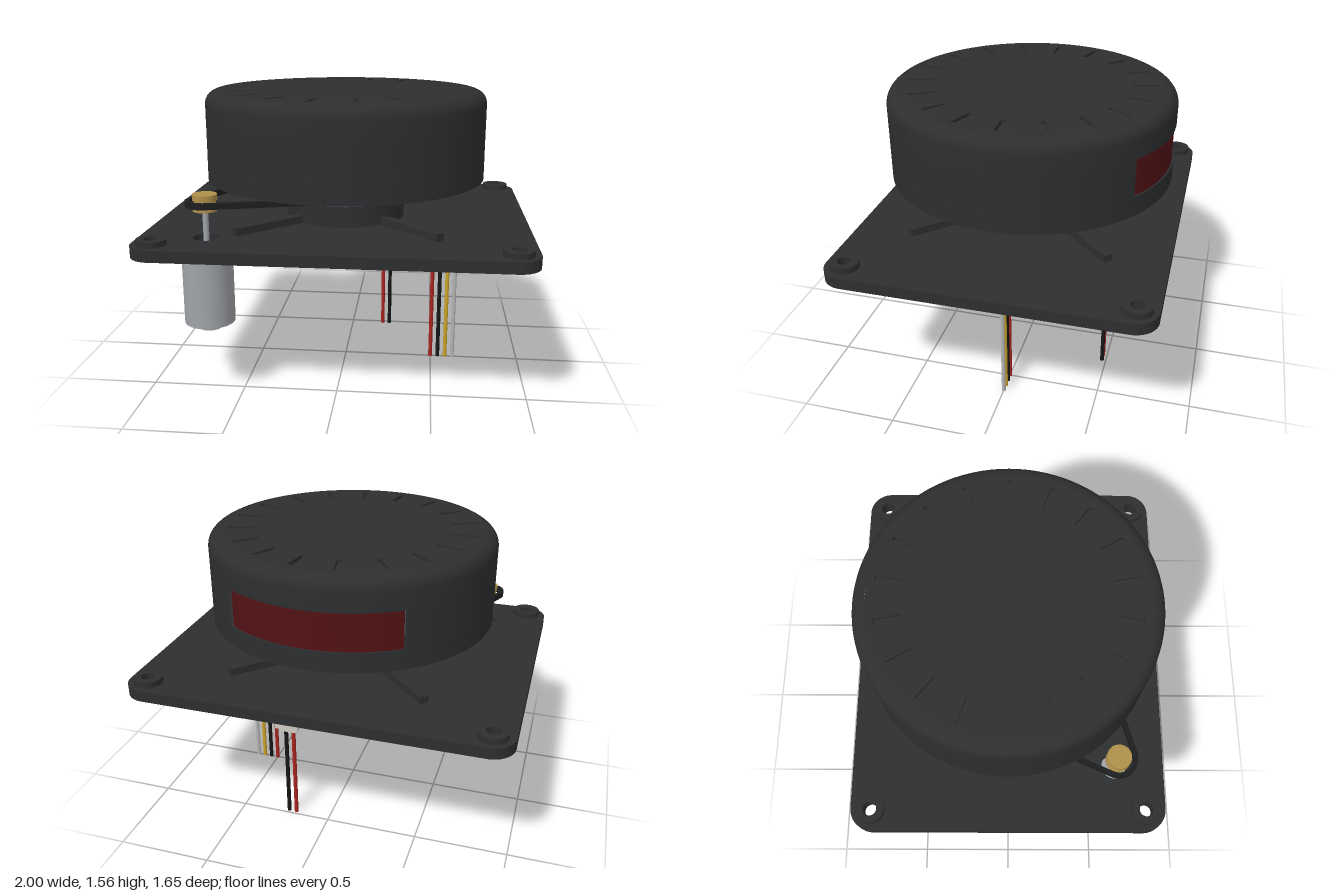
import * as THREE from 'three';
import { toCreasedNormals } from 'three/addons/utils/BufferGeometryUtils.js';

const mat = (color, side = THREE.FrontSide) => new THREE.MeshStandardMaterial({ color, side });
const M = {
  dark: mat(0x2c2e30), shell: mat(0x2c2e30, THREE.DoubleSide), belt: mat(0x1c1d1e),
  pulley: mat(0x4a4d52), brass: mat(0xb0904a), steel: mat(0xa0a3a8), window: mat(0x521214),
  board: mat(0x1f6136), chip: mat(0x77777a), ivory: mat(0xcfcbc0),
  red: mat(0xa8241e), black: mat(0x151515), yellow: mat(0xc9a227), white: mat(0xb4b4b4),
};
const MOTOR = [-0.655, 0.565]; // x, z of the motor axis

export function createModel() {
  const model = new THREE.Group();

  function add(parent, name, geometry, material, x = 0, y = 0, z = 0) {
    const mesh = new THREE.Mesh(geometry, material);
    mesh.name = name;
    mesh.position.set(x, y, z);
    parent.add(mesh);
    return mesh;
  }
  function group(name) {
    const g = new THREE.Group();
    g.name = name;
    model.add(g);
    return g;
  }
  // Horizontal slab from a plan outline (shape y = -z), between two heights
  function slab(parent, name, shape, y0, y1, material) {
    const g = new THREE.ExtrudeGeometry(shape, { depth: y1 - y0, bevelEnabled: false, curveSegments: 32 });
    g.rotateX(-Math.PI / 2);
    return add(parent, name, toCreasedNormals(g, 0.5), material, 0, y0, 0);
  }
  const cyl = (parent, name, r, y0, y1, material, x = 0, z = 0, seg = 32) =>
    add(parent, name, new THREE.CylinderGeometry(r, r, y1 - y0, seg), material, x, (y0 + y1) / 2, z);
  const box = (parent, name, x0, x1, y0, y1, z0, z1, material) =>
    add(parent, name, new THREE.BoxGeometry(x1 - x0, y1 - y0, z1 - z0), material,
      (x0 + x1) / 2, (y0 + y1) / 2, (z0 + z1) / 2);
  const circle = (C, x, z, r) => new C().absarc(x, -z, r, 0, Math.PI * 2, false);
  const ring = (x, z, r, hole) => {
    const s = circle(THREE.Shape, x, z, r);
    s.holes.push(circle(THREE.Path, x, z, hole));
    return s;
  };

  // Base plate with rounded corners, screw holes, motor hole and centre bore
  const base = group('base');
  const plate = new THREE.Shape();
  const w = 1, d = 0.825, c = 0.12, q = Math.PI / 2;
  [[1, 1], [-1, 1], [-1, -1], [1, -1]].forEach(([sx, sy], i) =>
    plate.absarc(sx * (w - c), sy * (d - c), c, i * q, (i + 1) * q, false));
  plate.holes.push(circle(THREE.Path, 0, 0, 0.25), circle(THREE.Path, ...MOTOR, 0.068));
  for (const x of [-0.89, 0.89]) for (const z of [-0.72, 0.72]) {
    plate.holes.push(circle(THREE.Path, x, z, 0.035));
    slab(base, 'screwBoss', ring(x, z, 0.075, 0.035), 0.86, 0.89, M.dark);
  }
  slab(base, 'basePlate', plate, 0.8, 0.86, M.dark);
  slab(base, 'neck', ring(0, 0, 0.325, 0.25), 0.86, 1.0, M.dark);
  for (let i = 0; i < 4; i++) {
    const rib = new THREE.BoxGeometry(0.44, 0.04, 0.05).translate(0.52, 0, 0);
    add(base, 'stiffeningRib', rib, M.dark, 0, 0.88, 0).rotation.y = (i + 0.5) * q;
  }

  // Large pulley and belt running round it and the motor pulley
  const drive = group('drive');
  cyl(drive, 'pulleyLowerFlange', 0.435, 1.0, 1.025, M.pulley, 0, 0, 64);
  cyl(drive, 'pulleyCore', 0.43, 1.025, 1.055, M.pulley, 0, 0, 64);
  cyl(drive, 'pulleyUpperFlange', 0.44, 1.055, 1.085, M.pulley, 0, 0, 64);
  function beltLoop(C, R, r) {
    const [px, pz] = MOTOR, phi = Math.atan2(-pz, px);
    const b = Math.acos((R - r) / Math.hypot(px, pz));
    const p = new C();
    p.absarc(0, 0, R, phi + b, phi - b + Math.PI * 2, false);
    p.absarc(px, -pz, r, phi - b, phi + b, false);
    p.closePath();
    return p;
  }
  const belt = beltLoop(THREE.Shape, 0.465, 0.1);
  belt.holes.push(beltLoop(THREE.Path, 0.437, 0.075));
  slab(drive, 'belt', belt, 1.025, 1.055, M.belt);

  // Motor hanging below the plate
  const motor = group('motor');
  cyl(motor, 'motorCan', 0.13, 0.41, 0.8, M.steel, ...MOTOR, 48);
  cyl(motor, 'motorEndBoss', 0.063, 0.375, 0.41, M.steel, ...MOTOR);
  cyl(motor, 'motorShaft', 0.015, 0.8, 1.0, M.steel, ...MOTOR, 16);
  cyl(motor, 'motorPulleyLower', 0.063, 1.0, 1.025, M.brass, ...MOTOR);
  cyl(motor, 'motorPulleyCore', 0.056, 1.025, 1.055, M.brass, ...MOTOR);
  cyl(motor, 'motorPulleyUpper', 0.063, 1.055, 1.085, M.brass, ...MOTOR);

  // Rotating head: shell split around a recessed window at the back
  const head = group('head');
  const R = 0.76, B = 1.085, T = 1.56, F = 0.07, half = THREE.MathUtils.degToRad(35.2);
  const lathe = (name, pts, material, start = 0, length = Math.PI * 2, seg = 96) =>
    add(head, name, toCreasedNormals(new THREE.LatheGeometry(
      pts.map(p => new THREE.Vector2(...p)), seg, start, length), 0.5), material);
  const fillet = [];
  for (let i = 0; i <= 8; i++) {
    const a = i / 8 * q;
    fillet.push([R - F + F * Math.cos(a), T - F + F * Math.sin(a)]);
  }
  lathe('headBottom', [[0, B], [R, B], [R, 1.19]], M.shell);
  lathe('headSide', [[R, 1.19], [R, 1.39]], M.shell, Math.PI + half, 2 * (Math.PI - half), 80);
  lathe('headUpper', [[R - 0.012, 1.39], [R, 1.39], ...fillet], M.shell);
  lathe('windowSill', [[R, 1.19], [R - 0.012, 1.19]], M.shell);
  lathe('window', [[R - 0.01, 1.19], [R - 0.01, 1.39]], M.window, Math.PI - half, 2 * half, 24);

  // Top face with a ring of radial slots
  const top = circle(THREE.Shape, 0, 0, R - F);
  for (let i = 0; i < 18; i++) {
    const a = i * Math.PI / 9, slot = new THREE.Path();
    const corners = [[0.52, -0.0125], [0.655, -0.0125], [0.655, 0.0125], [0.52, 0.0125]];
    slot.setFromPoints(corners.map(p => new THREE.Vector2(...p).rotateAround(new THREE.Vector2(), a)));
    slot.closePath();
    top.holes.push(slot);
  }
  slab(head, 'headTop', top, T - 0.02, T, M.dark);
  cyl(head, 'slotFloor', R - F, T - 0.03, T - 0.02, M.dark, 0, 0, 64);

  // Circuit board with a round notch, held on four posts
  const electronics = group('electronics');
  const notch = 0.26, zf = 0.155, na = Math.asin(zf / notch), nx = notch * Math.cos(na);
  const board = new THREE.Shape();
  board.moveTo(-0.44, -zf);
  board.lineTo(-nx, -zf);
  board.absarc(0, 0, notch, Math.PI + na, -na, true);
  board.lineTo(0.78, -zf);
  board.lineTo(0.78, 0.585);
  board.lineTo(-0.44, 0.585);
  board.closePath();
  slab(electronics, 'circuitBoard', board, 0.705, 0.735, M.board);
  for (const x of [-0.35, 0.695]) for (const z of [0.09, -0.52])
    cyl(electronics, 'boardPost', 0.039, 0.735, 0.8, M.steel, x, z, 24);
  box(electronics, 'largeChip', 0.36, 0.51, 0.68, 0.705, -0.425, -0.275, M.chip);
  box(electronics, 'mediumChip', -0.04, 0.04, 0.682, 0.705, -0.45, -0.385, M.chip);
  box(electronics, 'smallChip', 0.275, 0.32, 0.69, 0.705, -0.01, 0.04, M.chip);

  // Plug-in connectors with their pins and hanging wires
  function connector(x, z, halfWidth, wires) {
    const g = group('connector');
    box(g, 'socket', x - halfWidth, x + halfWidth, 0.57, 0.705, z - 0.047, z + 0.045, M.ivory);
    box(g, 'plug', x - halfWidth + 0.015, x + halfWidth - 0.015, 0.55, 0.57, z - 0.035, z + 0.035, M.ivory);
    box(g, 'latch', x - halfWidth * 0.45, x + halfWidth * 0.45, 0.575, 0.635, z + 0.045, z + 0.055, M.ivory);
    wires.forEach((m, i) => {
      const wx = x + (i - (wires.length - 1) / 2) * 0.0425;
      cyl(g, 'wire', 0.011, 0, 0.55, m, wx, z, 12);
      box(g, 'pin', wx - 0.005, wx + 0.005, 0.735, 0.765, z - 0.005, z + 0.005, M.steel);
    });
  }
  connector(0.215, -0.478, 0.065, [M.red, M.black]);
  connector(0.563, 0, 0.107, [M.red, M.black, M.yellow, M.white]);

  return model;
}
